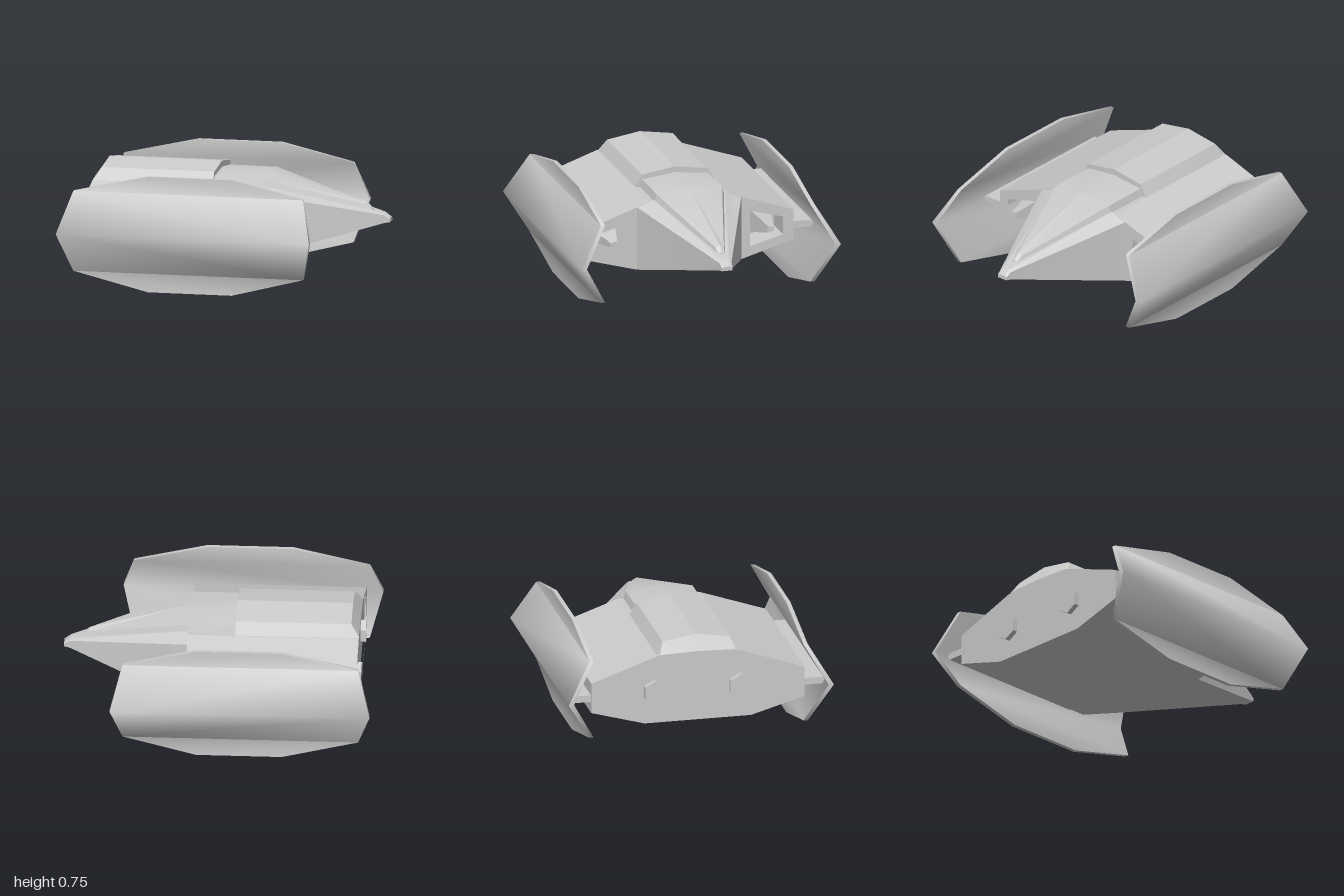
import * as THREE from 'three';
import { toCreasedNormals } from 'three/addons/utils/BufferGeometryUtils.js';

const material = new THREE.MeshStandardMaterial({ color: 0xcccccc });

function part(parent, name, geometry) {
  const mesh = new THREE.Mesh(geometry, material);
  mesh.name = name;
  parent.add(mesh);
  return mesh;
}

// Skin over a row of equal-length closed rings, capped at both ends, facing outwards
function loft(rings, crease = 0.3) {
  const n = rings[0].length;
  const tris = [];
  for (let r = 0; r + 1 < rings.length; r++) {
    for (let i = 0; i < n; i++) {
      const j = (i + 1) % n;
      const [a, b, c, d] = [rings[r][i], rings[r][j], rings[r + 1][j], rings[r + 1][i]];
      tris.push([a, b, c], [a, c, d]);
    }
  }
  const last = rings[rings.length - 1];
  for (let i = 1; i + 1 < n; i++) {
    tris.push([rings[0][0], rings[0][i + 1], rings[0][i]], [last[0], last[i], last[i + 1]]);
  }
  const v = (p) => new THREE.Vector3(...p);
  let volume = 0;
  for (const [a, b, c] of tris) volume += v(a).dot(v(b).cross(v(c)));
  if (volume < 0) tris.forEach((t) => t.reverse());
  const geometry = new THREE.BufferGeometry();
  geometry.setAttribute('position', new THREE.Float32BufferAttribute(tris.flat(2), 3));
  return toCreasedNormals(geometry, crease);
}

// Mirrored cross-section ring at station x from half profile points [z, y]
function station(x, half) {
  const right = half.filter(([z]) => z > 0).reverse().map(([z, y]) => [-z, y]);
  return [...half, ...right].map(([z, y]) => [x, y, z]);
}

// Flat outline in (z, y) extruded along x
function slab(outline, x0, x1, holes = []) {
  const toVec = (pts) => pts.map(([z, y]) => new THREE.Vector2(-z, y));
  const shape = new THREE.Shape(toVec(outline));
  holes.forEach((h) => shape.holes.push(new THREE.Path(toVec(h))));
  const geometry = new THREE.ExtrudeGeometry(shape, { depth: x1 - x0, bevelEnabled: false });
  return geometry.rotateY(Math.PI / 2).translate(x0, 0, 0);
}

const mirrorOutline = (half) => [...half, ...half.map(([z, y]) => [-z, y]).reverse()];
const flip = (pts, s) => pts.map(([z, y]) => [z * s, y]);

export function createModel() {
  const ship = new THREE.Group();
  ship.name = 'spacecraft';

  // Hull: solid core, front slab with gun openings, thin rear rim
  const hull = mirrorOutline([[0.35, 0.18], [0.7, 0.28], [0.7, 0.48], [0.27, 0.63]]);
  const rimHole = mirrorOutline([[0.345, 0.2], [0.68, 0.295], [0.68, 0.465], [0.265, 0.61]]);
  const gunHole = [[0.63, 0.44], [0.41, 0.5], [0.41, 0.26], [0.63, 0.32]];
  part(ship, 'hull', slab(hull, -0.885, 0.0));
  part(ship, 'hullFront', slab(hull, 0.0, 0.195, [gunHole, flip(gunHole, -1)]));
  part(ship, 'rearRim', slab(hull, -0.9, -0.885, [rimHole]));

  // Raised spine with a chamfered back end
  const spine = [[0.27, 0.62], [0.22, 0.71], [0, 0.745]];
  part(ship, 'spine', loft([
    station(-0.9, [[0.27, 0.62], [0.25, 0.637], [0, 0.645]]),
    station(-0.85, spine),
    station(-0.11, spine),
  ]));

  // Canopy tapering down to the nose
  part(ship, 'canopy', loft([
    station(-0.12, [[0.24, 0.61], [0.22, 0.68], [0, 0.705]]),
    station(0.2, [[0.24, 0.61], [0.22, 0.678], [0, 0.7]]),
    station(0.84, [[0.04, 0.46], [0.028, 0.505], [0, 0.52]]),
    station(0.88, [[0.03, 0.45], [0.02, 0.472], [0, 0.48]]),
  ]));

  // Wedge nose with a blunt tip
  part(ship, 'nose', loft([
    station(0.195, [[0.35, 0.18], [0.35, 0.6], [0.24, 0.638]]),
    station(0.96, [[0.042, 0.388], [0.042, 0.44], [0.024, 0.452]]),
    station(1.0, [[0.035, 0.395], [0.035, 0.415], [0.022, 0.422]]),
  ]));

  for (const s of [1, -1]) {
    const side = s > 0 ? 'left' : 'right';

    // Bent side wing: [y, x back, x front, outer z]
    const rows = [
      [0, -0.43, 0.12, 0.717], [0.12, -0.92, 0.59, 0.717], [0.38, -1, 0.665, 0.87],
      [0.64, -0.92, 0.59, 0.717], [0.75, -0.43, 0.12, 0.717],
    ];
    part(ship, side + 'Wing', loft(rows.map(([y, x0, x1, z]) => {
      const inner = z > 0.8 ? z - 0.035 : z - 0.027;
      return [[x0, y, inner * s], [x1, y, inner * s], [x1, y, z * s], [x0, y, z * s]];
    }), 1.2));

    // Strut joining hull and wing
    const strut = part(ship, side + 'Strut', new THREE.BoxGeometry(1.08, 0.045, 0.16));
    strut.position.set(-0.35, 0.375, 0.765 * s);

    // Gun: tapered block standing in its opening
    const taper = (x, pts) => flip(pts, s).map(([z, y]) => [x, y, z]);
    part(ship, side + 'Gun', loft([
      taper(0.0, [[0.61, 0.42], [0.44, 0.47], [0.44, 0.3], [0.61, 0.35]]),
      taper(0.2, [[0.56, 0.408], [0.49, 0.424], [0.49, 0.346], [0.56, 0.362]]),
      taper(0.26, [[0.55, 0.4], [0.505, 0.41], [0.505, 0.365], [0.55, 0.372]]),
    ]));

    // Hexagonal engine nozzle
    const hex = (r) => Array.from({ length: 6 }, (_, i) => {
      const a = (i + 0.5) * Math.PI / 3;
      return [0.28 * s + r * Math.cos(a), 0.39 + r * Math.sin(a)];
    });
    part(ship, side + 'Nozzle', slab(hex(0.08), -0.92, -0.88, [hex(0.055)]));
  }
  return ship;
}
